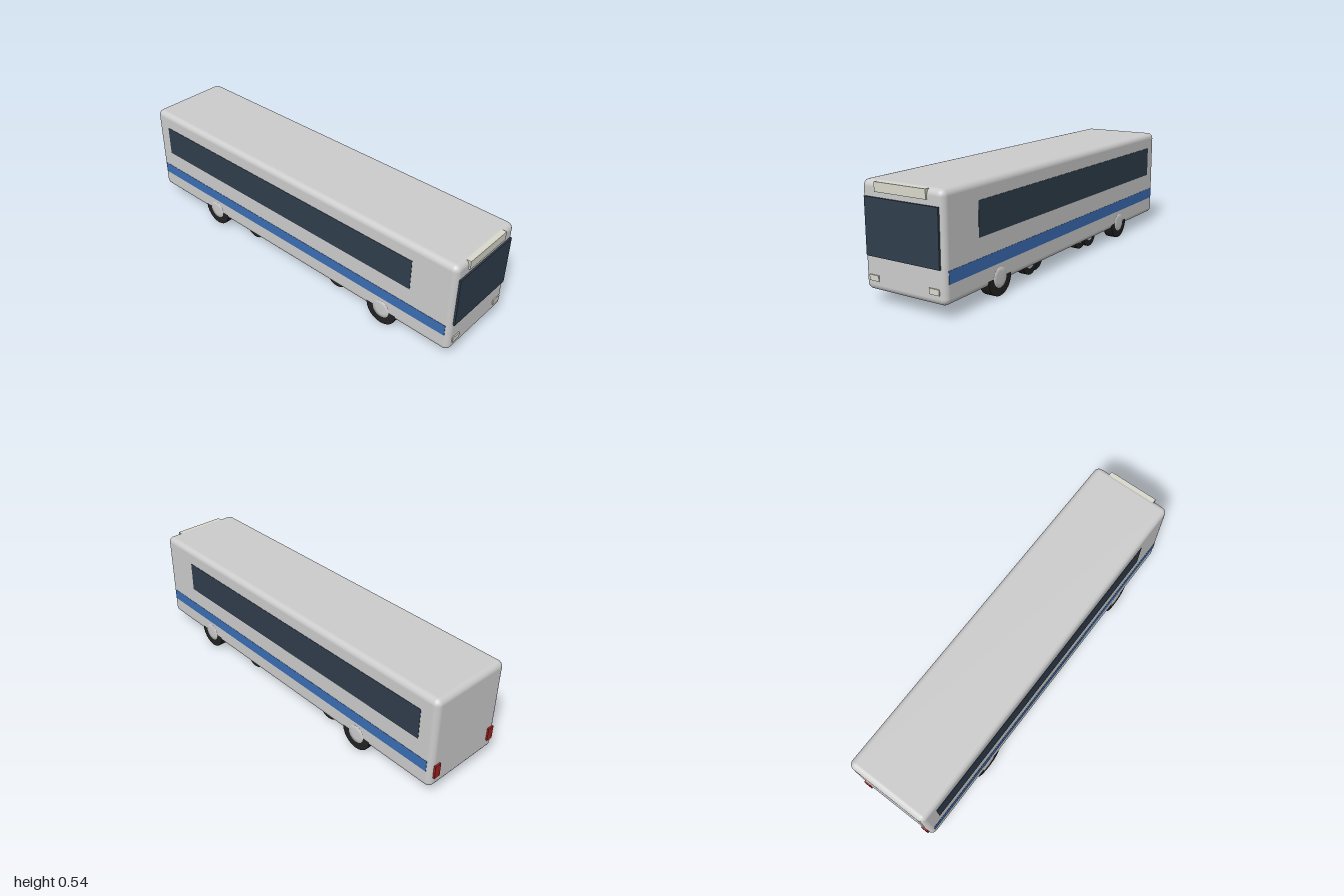
import * as THREE from 'three';
import { RoundedBoxGeometry } from 'three/addons/geometries/RoundedBoxGeometry.js';

const paint = (color) => new THREE.MeshStandardMaterial({ color });
const GREY = paint(0xcccccc), GLASS = paint(0x2f3d4c), BLUE = paint(0x3a6db3);
const LAMP = paint(0xd8d8cc), RED = paint(0xa02020), RUBBER = paint(0x222222);

export function createModel() {
  const model = new THREE.Group();
  model.name = 'bus';

  const add = (name, geometry, material, x, y, z, parent = model) => {
    const mesh = new THREE.Mesh(geometry, material);
    mesh.name = name;
    mesh.position.set(x, y, z);
    parent.add(mesh);
    return mesh;
  };
  // Box given by its extents on each axis
  const slab = (name, material, [x0, x1], [y0, y1], [z0, z1]) =>
    add(name, new THREE.BoxGeometry(x1 - x0, y1 - y0, z1 - z0), material,
      (x0 + x1) / 2, (y0 + y1) / 2, (z0 + z1) / 2);

  // Body shell and underfloor tray
  add('body', new RoundedBoxGeometry(0.44, 0.483, 1.984, 3, 0.03), GREY, 0, 0.3015, 0);
  add('underfloorTray', new RoundedBoxGeometry(0.342, 0.05, 0.9, 3, 0.02), GREY, 0, 0.069, 0);

  // Front glass and destination panel
  slab('windshield', GLASS, [-0.198, 0.198], [0.216, 0.473], [0.98, 1]);
  slab('destinationPanel', LAMP, [-0.138, 0.138], [0.497, 0.54], [0.97, 1]);

  // Wheel with its axle along x: tyre plus a protruding hub cap
  const wheel = (name, side, outerX, z, radius, width) => {
    const group = new THREE.Group();
    group.name = name;
    group.position.set(side * (outerX - width / 2), radius, z);
    const tyre = new THREE.CylinderGeometry(radius, radius, width, 24).rotateZ(Math.PI / 2);
    add('tyre', tyre, RUBBER, 0, 0, 0, group);
    const r = radius * 0.55;
    const cap = new THREE.LatheGeometry([
      new THREE.Vector2(r, -0.01), new THREE.Vector2(r, 0.0012),
      new THREE.Vector2(r * 0.6, 0.0022), new THREE.Vector2(0, 0.0026),
    ], 24).rotateZ(-side * Math.PI / 2);
    add('hubCap', cap, GREY, side * width / 2, 0, 0, group);
    model.add(group);
  };

  for (const side of [-1, 1]) {
    const span = (a, b) => (side > 0 ? [a, b] : [-b, -a]);

    // Side window band and coloured stripe
    slab('sideWindow', GLASS, span(0.21, 0.2215), [0.3, 0.46], [-0.906, 0.767]);
    slab('sideStripe', BLUE, span(0.21, 0.2212), [0.152, 0.21], [-0.965, 0.968]);

    // Lamps
    slab('headlight', LAMP, span(0.138, 0.19), [0.107, 0.133], [0.98, 0.997]);
    slab('tailLight', RED, span(0.165, 0.2), [0.12, 0.19], [-1, -0.98]);

    // Main road wheels
    wheel('frontWheel', side, 0.2198, 0.617, 0.0855, 0.052);
    wheel('rearWheel', side, 0.2198, -0.54, 0.0855, 0.052);

    // Small paired wheels under the floor
    for (const end of [-1, 1]) {
      wheel('outerBogieWheel', side, 0.168, end * 0.295, 0.064, 0.04);
      wheel('innerBogieWheel', side, 0.152, end * 0.222, 0.064, 0.04);
    }
  }
  return model;
}
